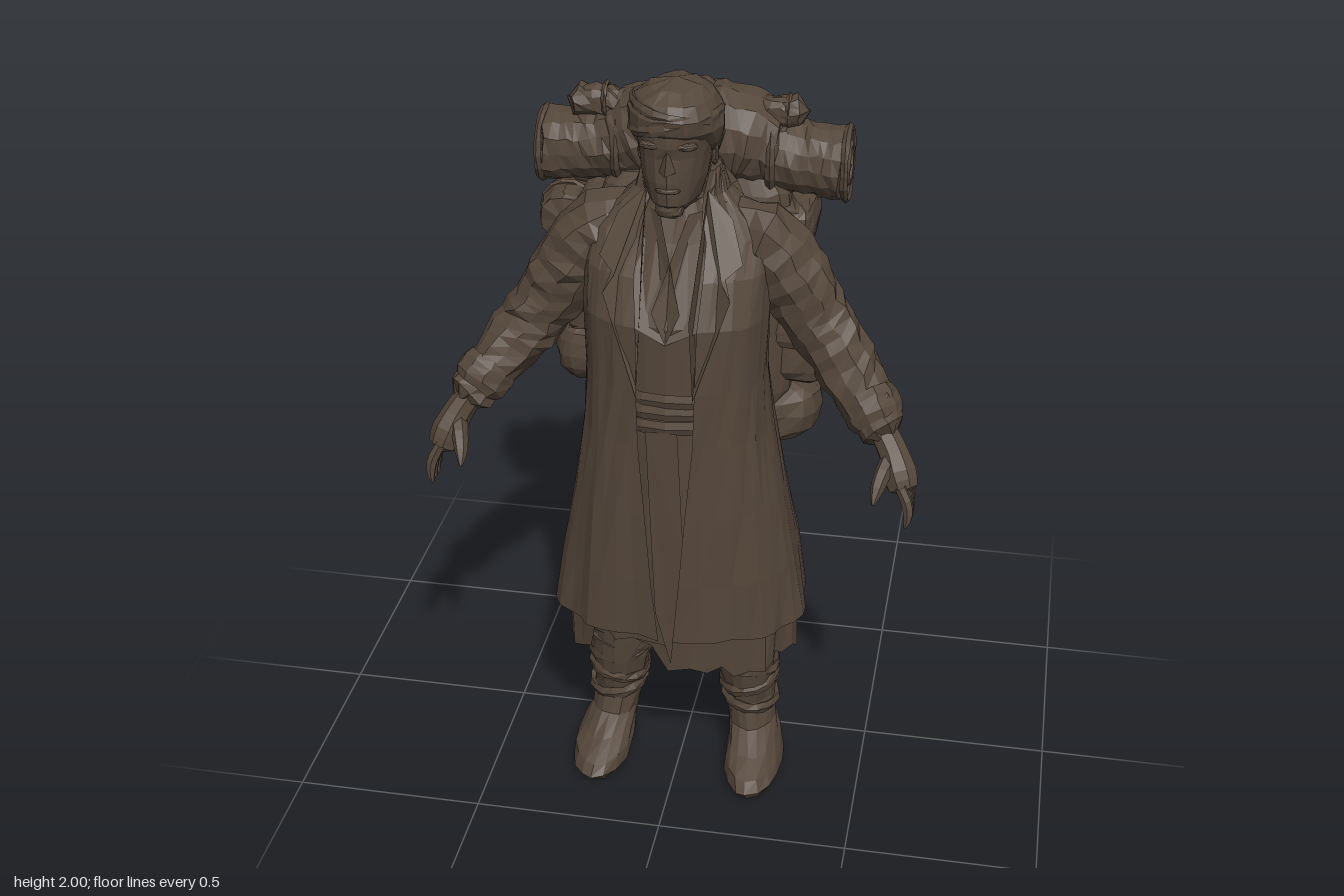
import * as THREE from 'three';

const cloth = new THREE.MeshStandardMaterial({ color: 0x54463a, flatShading: true, side: THREE.DoubleSide });
cloth.name = 'brownCloth';

// Position-based crumple so that coincident vertices stay together
function crumple(geo, amount) {
  const p = geo.attributes.position;
  const h = (a, b, c) => { const s = Math.sin(a * 127.1 + b * 311.7 + c * 74.7) * 43758.5; return (s - Math.floor(s)) * 2 - 1; };
  for (let i = 0; i < p.count; i++) {
    const [x, y, z] = [p.getX(i), p.getY(i), p.getZ(i)].map(v => Math.round(v * 500) / 50 + 0);
    p.setXYZ(i, p.getX(i) + h(x, y, z) * amount, p.getY(i) + h(y, z, x) * amount, p.getZ(i) + h(z, x, y) * amount);
  }
  geo.computeVertexNormals();
  return geo;
}

function grid(rows) {
  const n = rows[0].length, idx = [];
  for (let j = 0; j < rows.length - 1; j++) for (let i = 0; i < n - 1; i++) {
    const a = j * n + i, b = a + 1, c = a + n, d = c + 1;
    idx.push(a, b, d, a, d, c);
  }
  const g = new THREE.BufferGeometry();
  g.setAttribute('position', new THREE.Float32BufferAttribute(rows.flat(2), 3));
  g.setIndex(idx);
  g.computeVertexNormals();
  return g;
}

const power = (v, e) => Math.sign(v) * Math.abs(v) ** e;

// Stacked oval sections [y, centreX, centreZ, radiusX, radiusZ, frontGapHalfWidth]
function loft(sections, n = 20, { e = 1, fold = () => 0, drop = () => 0 } = {}) {
  return grid(sections.map(([y, cx, cz, rx, rz, gap = 0], j) => {
    const a0 = gap ? Math.asin((gap / rx) ** (1 / e)) : 0;
    return Array.from({ length: n + 1 }, (_, i) => {
      const a = i === n && !gap ? 0 : a0 + (Math.PI * 2 - 2 * a0) * i / n;
      const f = 1 + fold(a, y);
      return [cx + power(Math.sin(a), e) * rx * f, y + drop(a, j), cz + power(Math.cos(a), e) * rz * f];
    });
  }));
}

// Tube through [x, y, z, radius] stations
function limb(st, segs = 14, sides = 9, ruffle = 0) {
  const curve = new THREE.CatmullRomCurve3(st.map(s => new THREE.Vector3(s[0], s[1], s[2])));
  const g = new THREE.TubeGeometry(curve, segs, 1, sides), p = g.attributes.position, v = new THREE.Vector3();
  for (let j = 0; j <= segs; j++) {
    const c = curve.getPointAt(j / segs), t = curve.getUtoTmapping(j / segs) * (st.length - 1);
    const k = Math.min(Math.floor(t), st.length - 2);
    const r = THREE.MathUtils.lerp(st[k][3], st[k + 1][3], t - k) * (1 + (j % 2 ? ruffle : -ruffle));
    for (let i = 0; i <= sides; i++) {
      const q = j * (sides + 1) + i;
      v.fromBufferAttribute(p, q).sub(c).multiplyScalar(r).add(c);
      p.setXYZ(q, v.x, v.y, v.z);
    }
  }
  return g;
}

function panel(...pts) {
  const g = new THREE.BufferGeometry(), idx = [];
  g.setAttribute('position', new THREE.Float32BufferAttribute(pts.flat(), 3));
  for (let i = 1; i < pts.length - 1; i++) idx.push(0, i, i + 1);
  g.setIndex(idx);
  g.computeVertexNormals();
  return g;
}

export function createModel() {
  const model = new THREE.Group();
  model.name = 'backpackTraveller';
  const add = (name, geo, noise = 0) => {
    const m = new THREE.Mesh(noise ? crumple(geo, noise) : geo, cloth);
    m.name = name;
    model.add(m);
  };
  // Stuffed cushion filling x, y, z ranges; lower e is boxier
  const pouch = (name, x0, x1, y0, y1, z0, z1, noise = 0.005, e = 0.5) => {
    const rows = Array.from({ length: 11 }, (_, j) => {
      const b = (j / 10 - 0.5) * Math.PI, c = Math.max(0, Math.cos(b)) ** e;
      return Array.from({ length: 21 }, (_, i) => {
        const a = (i % 20) / 10 * Math.PI;
        return [(x0 + x1) / 2 + power(Math.sin(a), e) * c * (x1 - x0) / 2, (y0 + y1) / 2 + power(Math.sin(b), e) * (y1 - y0) / 2,
          (z0 + z1) / 2 + power(Math.cos(a), e) * c * (z1 - z0) / 2];
      });
    });
    add(name, grid(rows), noise);
  };

  // Head, face and wrapped headcloth
  add('head', loft([[1.6, 0, .14, .07, .07], [1.69, 0, .165, .058, .07], [1.7, 0, .2, .05, .1], [1.725, 0, .21, .064, .115],
    [1.78, 0, .208, .08, .12], [1.84, 0, .203, .09, .12], [1.87, 0, .203, .094, .126], [1.92, 0, .2, .1, .125]], 18), .002);
  add('nose', panel([0, 1.87, .322], [-.02, 1.81, .322], [0, 1.81, .355], [.02, 1.81, .322]));
  for (const s of [-1, 1]) {
    pouch('brow', s * .04 - .028, s * .04 + .028, 1.862, 1.88, .285, .325, .001, .8);
    pouch('ear', s * .088 - .01, s * .088 + .01, 1.78, 1.85, .165, .2, .001, .9);
  }
  pouch('mouth', -.03, .03, 1.755, 1.77, .3, .331, 0, .8);
  pouch('chin', -.035, .035, 1.685, 1.735, .25, .322, .002, .8);
  add('headcloth', loft([[1.77, 0, .135, .06, .055], [1.81, 0, .15, .092, .082], [1.855, 0, .175, .111, .107], [1.9, 0, .2, .116, .134],
    [1.935, 0, .205, .111, .136], [1.965, 0, .205, .091, .114], [1.988, 0, .205, .06, .075], [2, 0, .205, .001, .001]], 18), .004);
  for (const [y, tilt, s] of [[1.905, .22, 1], [1.93, -.2, .97]])
    add('headclothBand', new THREE.TorusGeometry(.109 * s, .007, 5, 20).rotateX(Math.PI / 2).scale(1, 2, 1.2).rotateX(-.1).rotateZ(tilt).translate(0, y, .202), .002);

  // Inner robe, crossed shirt and sash
  add('innerRobe', loft([[.48, 0, .17, .2, .18], [.8, 0, .185, .19, .18], [1.18, 0, .2, .18, .16], [1.42, 0, .2, .19, .155],
    [1.6, 0, .16, .14, .1], [1.7, 0, .15, .08, .07]], 22, { fold: (a, y) => y < 1.1 ? .03 * Math.sin(a * 11) : 0 }), .004);
  for (const s of [-1, 1])
    add('shirtFold', panel([s * .08, 1.67, .2], [s * .035, 1.67, .24], [-s * .035, 1.46, .36], [0, 1.38, .368], [s * .09, 1.42, .355], [s * .11, 1.58, .27]));
  for (const y of [1.15, 1.19, 1.225])
    add('sash', loft([[y - .019, 0, .2, .19, .168], [y, 0, .2, .195, .174], [y + .019, 0, .2, .19, .168]], 20, { fold: a => .012 * Math.sin(a * 5 + y * 30) }));
  add('sashTail', panel([-.05, 1.14, .372], [.03, 1.14, .372], [.045, .8, .375], [.01, .44, .37], [-.03, .6, .372]));

  // Tattered underskirt below the coat hem
  add('underskirt', loft([[.4, 0, .125, .3, .215], [.55, 0, .13, .3, .215], [.75, 0, .15, .27, .2]], 44, {
    e: .85, fold: (a, y) => (.8 - y) * .1 * Math.sin(a * 9),
    drop: (a, j) => j ? 0 : .015 * Math.sin(a * 7) + .012 * Math.sin(a * 19) - .008 + (Math.abs(a - 5.95) < .4 ? .09 : 0) }), .004);

  // Long open coat
  add('coat', loft([[.525, 0, .14, .335, .245, .02], [.7, 0, .152, .31, .233, .035], [.9, 0, .17, .275, .213, .05], [1.1, 0, .188, .24, .192, .065],
    [1.25, 0, .2, .228, .18, .075], [1.42, 0, .2, .23, .175, .075], [1.53, 0, .178, .23, .148, .08], [1.61, 0, .15, .215, .113, .08],
    [1.66, 0, .135, .16, .1, .07], [1.7, 0, .125, .115, .085, .065], [1.76, 0, .125, .095, .07, .075]], 42, {
    e: .85, fold: (a, y) => Math.max(0, 1.2 - y) * .045 * Math.sin(a * 10 + y) }), .004);
  for (const s of [-1, 1]) {
    add('lapel', panel([s * .075, 1.72, .2], [s * .14, 1.66, .225], [s * .175, 1.57, .285], [s * .13, 1.54, .33], [s * .155, 1.5, .35],
      [s * .07, 1.24, .385], [s * .06, 1.45, .38], [s * .07, 1.6, .29]));
    add('collar', panel([s * .075, 1.7, .21], [s * .105, 1.755, .13], [s * .06, 1.765, .05], [s * .12, 1.68, .035], [s * .165, 1.66, .14]));
  }

  // Limbs, mirrored
  for (const s of [-1, 1]) {
    const m = pts => pts.map(([x, y, z, r]) => [s * x, y, z, r]);
    add('sleeve', limb(m([[.1, 1.61, .135, .065], [.2, 1.575, .135, .097], [.28, 1.47, .135, .096], [.35, 1.36, .135, .086], [.41, 1.28, .16, .082],
      [.475, 1.2, .215, .07], [.54, 1.125, .27, .058], [.545, 1.12, .275, .02]]), 22, 11, .015), .007);
    add('cuff', limb(m([[.475, 1.21, .21, .072], [.5, 1.175, .235, .076], [.515, 1.155, .25, .064]]), 4, 10, .02), .003);
    add('palm', limb(m([[.525, 1.14, .26, .036], [.555, 1.095, .285, .038], [.575, 1.05, .31, .046], [.59, 1.01, .327, .036], [.595, 1, .33, .002]]), 8, 8));
    for (let i = 0; i < 4; i++) {
      const z = .282 + i * .026, o = i === 0 ? .02 : 0;
      add('finger', limb(m([[.582, 1.04, z, .014], [.602, 1, z + .01, .015], [.606, .965 + o, z + .018, .012], [.6, .94 + o, z + .026, .003]]), 6, 6));
    }
    add('thumb', limb(m([[.55, 1.085, .3, .024], [.535, 1.06, .34, .021], [.525, 1.03, .37, .017], [.52, 1.005, .397, .004]]), 6, 6));

    // Boot with wrapped shin
    add('boot', loft([[.005, .215, .2, .001, .001], [.003, .213, .2, .065, .15], [.025, .213, .2, .08, .17], [.055, .208, .19, .077, .158], [.085, .203, .155, .07, .125],
      [.125, .193, .12, .064, .092], [.2, .183, .112, .068, .082], [.3, .178, .118, .083, .094], [.38, .172, .122, .09, .1], [.48, .168, .13, .1, .105],
      [.75, .13, .16, .1, .11]].map(([y, x, ...r]) => [y, s * x, ...r]), 16), .004);
    [.19, .25, .31, .36, .41].forEach((y, i) => {
      const g = new THREE.TorusGeometry(.074 + i * .004, .009, 5, 16);
      add('shinWrap', g.rotateX(Math.PI / 2).scale(1, 2, 1.1).rotateZ((i % 2 ? .22 : -.15) * s).translate(s * (.186 - i * .004), y, .115), .003);
    });
  }

  // Main pack
  pouch('packBody', -.26, .26, .93, 1.7, -.29, .03, .008, .4);
  pouch('packBack', -.21, .21, 1.02, 1.58, -.325, -.15, .007, .4);
  pouch('packBottom', -.27, .33, .9, 1.085, -.25, .01, .007, .6);
  pouch('topFlap', -.24, .255, 1.49, 1.74, -.345, -.08, .007);
  pouch('backPocket', -.17, .165, 1.02, 1.28, -.4, -.22, .006, .45);
  pouch('backPocketFlap', -.18, .175, 1.19, 1.335, -.412, -.23, .006);
  for (const x of [-.11, .1]) {
    add('flapStrap', limb([[x, 1.72, -.2, .014], [x, 1.7, -.3, .014], [x, 1.61, -.342, .014], [x, 1.5, -.325, .014], [x, 1.4, -.322, .012]], 12, 5));
    add('pocketStrap', limb([[x, 1.32, -.32, .012], [x, 1.29, -.39, .012], [x, 1.24, -.405, .012], [x, 1.12, -.395, .012]], 10, 5));
  }
  pouch('packBand', -.21, .21, 1.4, 1.435, -.332, -.1, .002, .4);
  pouch('hangingBundle', -.1, .13, .86, .99, -.325, -.17, .01, .6);

  // Side pockets
  for (const s of [-1, 1]) {
    const side = (name, a, b, ...r) => pouch(name, Math.min(s * a, s * b), Math.max(s * a, s * b), ...r);
    side('upperSidePocket', .14, .29, 1.32, 1.57, -.225, .0);
    side('upperPocketFlap', .15, .305, 1.47, 1.6, -.23, .01);
    side('lowerPocketFlap', .15, .352, 1.2, 1.315, -.25, .015);
    add('sideStrap', limb([[s * .3, 1.31, -.11, .012], [s * .345, 1.28, -.11, .012], [s * .345, 1.2, -.11, .012], [s * .335, 1.12, -.11, .012]], 8, 5));
    side('smallBundle', .24, .36, 1.57, 1.72, -.265, -.12, .006);
  }
  pouch('lowerSidePocket', .15, .36, 1.08, 1.28, -.245, 0, .006, .6);

  // Round canteen and rolled cloth on the right side
  pouch('canteen', -.39, -.2, 1.02, 1.2, -.25, -.03, .004, .75);
  add('canteenRim', new THREE.TorusGeometry(.09, .01, 5, 18).rotateY(Math.PI / 2).translate(-.345, 1.11, -.14));
  add('sideRoll', limb([[-.36, 1.49, -.25, .001], [-.36, 1.49, -.24, .062], [-.355, 1.495, -.14, .07], [-.35, 1.49, -.07, .064], [-.35, 1.49, -.06, .001]], 16, 12), .004);
  add('sideRollTie', new THREE.TorusGeometry(.069, .008, 5, 14).translate(-.355, 1.495, -.15));

  // Rolls across the pack, with coiled ends and ties
  const roll = (name, st, n = 28) => add(name, limb(st, n, 14, .008), .005);
  roll('bedroll', [[-.403, 1.695, -.09, .001], [-.4, 1.695, -.09, .095], [-.3, 1.7, -.09, .09], [-.2, 1.715, -.09, .097], [-.13, 1.745, -.09, .124], [0, 1.76, -.09, .13],
    [.13, 1.745, -.09, .124], [.2, 1.715, -.09, .097], [.29, 1.7, -.09, .09], [.382, 1.695, -.09, .095], [.385, 1.695, -.09, .001]], 40);
  roll('thinRoll', [[-.33, 1.825, -.08, .001], [-.327, 1.825, -.08, .042], [-.15, 1.815, -.08, .04], [.15, 1.82, -.075, .04], [.277, 1.835, -.07, .04], [.28, 1.835, -.07, .001]]);
  const ring = (name, x, y, z, r, t = .01) => add(name, new THREE.TorusGeometry(r, t, 5, 16).rotateY(Math.PI / 2).translate(x, y, z), .002);
  for (const s of [-1, 1]) {
    const end = s > 0 ? .378 : -.396;
    ring('bedrollRim', end, 1.695, -.09, .091, .01);
    ring('bedrollInnerCoil', end + s * .004, 1.695, -.09, .05, .008);
    ring('bedrollTie', s * .195, 1.717, -.09, .1, .012);
    ring('thinRollTie', s * .23, 1.827, -.075, .041, .006);
  }
  return model;
}
